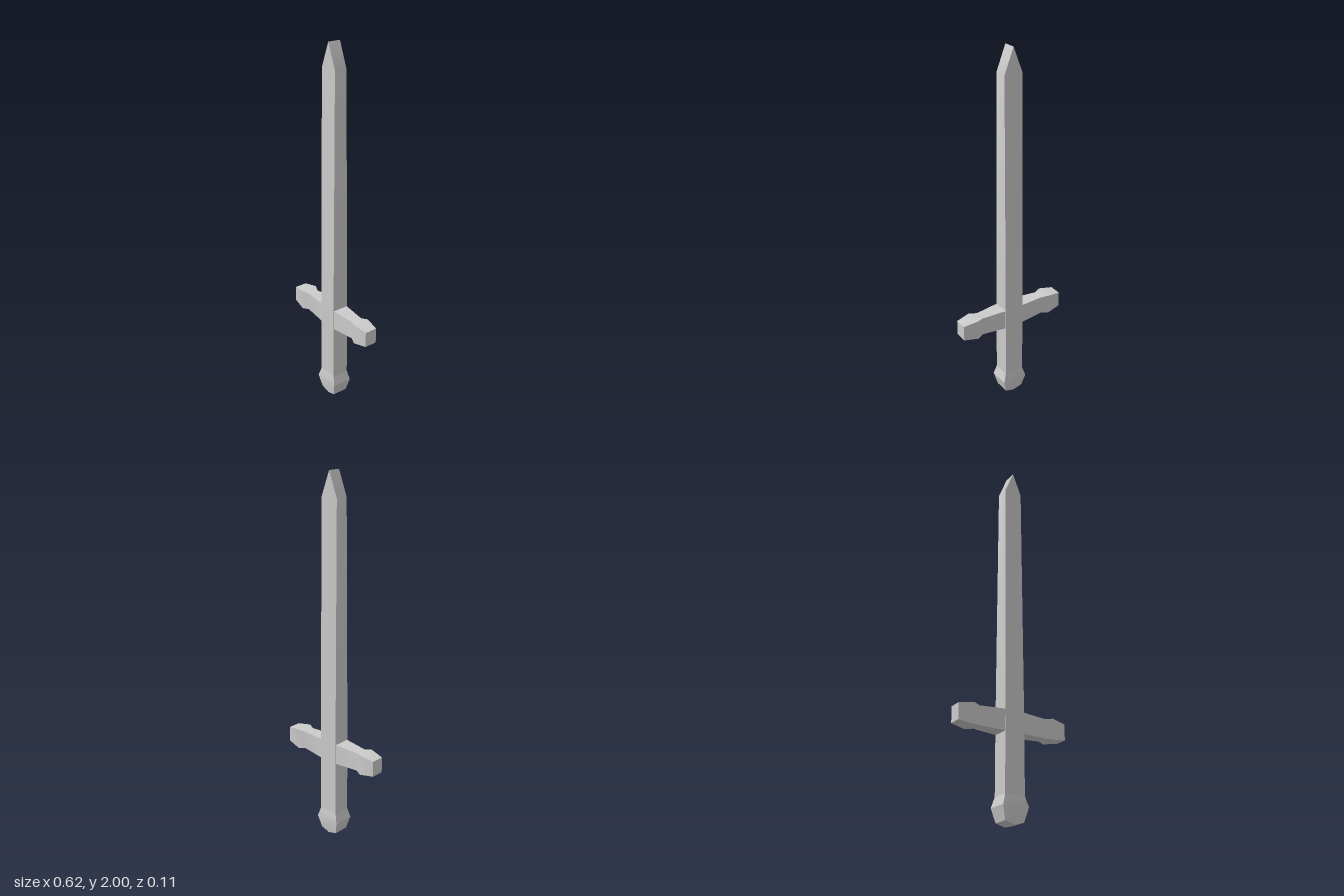
import * as THREE from 'three';
import { toCreasedNormals } from 'three/addons/utils/BufferGeometryUtils.js';

// Skin rectangular sections [y, halfWidth, halfDepth], listed upwards; capTop closes the last one.
function loft(sections, capTop = false) {
  const rings = sections.map(([y, w, d]) =>
    [[w, d], [w, -d], [-w, -d], [-w, d]].map(([x, z]) => new THREE.Vector3(x, y, z)));
  const points = [];
  const tri = (a, b, c) => {
    // skip collapsed triangles where a section narrows to a ridge
    if (new THREE.Triangle(a, b, c).getArea() > 1e-8) points.push(a, b, c);
  };
  for (let i = 0; i < rings.length - 1; i++) {
    const lo = rings[i], hi = rings[i + 1];
    for (let k = 0; k < 4; k++) {
      const n = (k + 1) % 4;
      tri(lo[k], lo[n], hi[n]);
      tri(lo[k], hi[n], hi[k]);
    }
  }
  if (capTop) {
    const r = rings[rings.length - 1];
    tri(r[0], r[1], r[2]);
    tri(r[0], r[2], r[3]);
  }
  return new THREE.BufferGeometry().setFromPoints(points);
}

export function createModel() {
  const sword = new THREE.Group();
  sword.name = 'sword';
  const material = new THREE.MeshStandardMaterial({ color: 0xcccccc });
  const add = (name, geometry) => {
    const mesh = new THREE.Mesh(toCreasedNormals(geometry, 0.55), material);
    mesh.name = name;
    sword.add(mesh);
  };

  // Pommel: shallow ridge underneath, flared block above
  add('pommel', loft([
    [0, 0, 0.042],
    [0.015, 0.053, 0.043],
    [0.087, 0.072, 0.057],
    [0.14, 0.056, 0.047],
  ]));

  // Grip, running up through the guard
  add('grip', loft([[0.14, 0.056, 0.047], [0.565, 0.055, 0.047]]));

  // Blade: slow taper, then a chisel point
  add('blade', loft([
    [0.565, 0.055, 0.047],
    [1.87, 0.051, 0.035],
    [2, 0, 0.035],
  ]));

  // Guard arms: waisted, then swelling to a blunt end
  for (const side of [1, -1]) {
    const arm = loft([
      [0.02, 0.056, 0.046],
      [0.055, 0.056, 0.045],
      [0.193, 0.051, 0.031],
      [0.231, 0.056, 0.047],
      [0.312, 0.043, 0.035],
    ], true);
    arm.rotateZ(-side * Math.PI / 2).translate(0, 0.507, 0);
    add(side > 0 ? 'leftGuardArm' : 'rightGuardArm', arm);
  }

  return sword;
}
